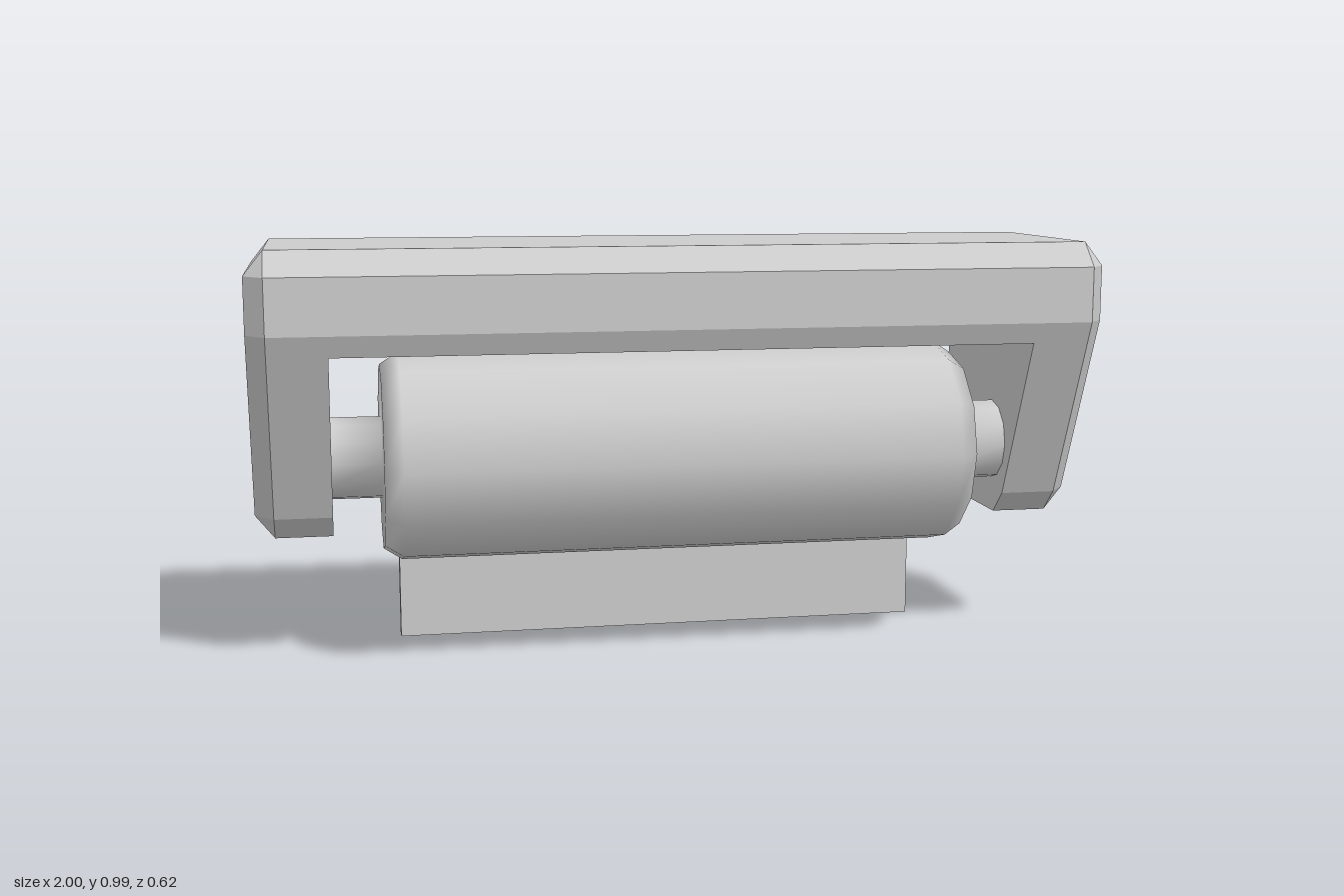
import * as THREE from 'three';
import { ConvexGeometry } from 'three/addons/geometries/ConvexGeometry.js';

export function createModel() {
  const model = new THREE.Group();
  model.name = 'rollHolder';

  const grey = new THREE.MeshStandardMaterial({ color: 0xcccccc });
  grey.name = 'grey';

  const add = (name, geometry) => {
    const mesh = new THREE.Mesh(geometry, grey);
    mesh.name = name;
    model.add(mesh);
    return mesh;
  };

  // Places a [z, y] outline at a given x
  const section = (outline, x) => outline.map(([z, y]) => new THREE.Vector3(x, y, z));

  // Outlines of the bracket arm, its bevelled outer face, and the cross bar
  const armOutline = [
    [0.25, 0.992], [0.308, 0.935], [0.308, 0.805], [0.108, 0.362], [0.05, 0.306],
    [-0.25, 0.306], [-0.308, 0.362], [-0.308, 0.935], [-0.25, 0.992],
  ];
  const armFace = [[0.25, 0.935], [0.25, 0.805], [0.05, 0.362], [-0.25, 0.362], [-0.25, 0.935]];
  const barOutline = [
    [0.25, 0.992], [0.308, 0.935], [0.308, 0.805], [0.2855, 0.755],
    [-0.25, 0.755], [-0.308, 0.805], [-0.308, 0.935], [-0.25, 0.992],
  ];

  // Bracket: cross bar and two bevelled arms
  const innerX = 0.82;
  add('crossBar', new ConvexGeometry([...section(barOutline, -innerX), ...section(barOutline, innerX)]));
  for (const [name, side] of [['leftArm', 1], ['rightArm', -1]]) {
    add(name, new ConvexGeometry([
      ...section(armOutline, side * innerX),
      ...section(armOutline, side * 0.955),
      ...section(armFace, side),
    ]));
  }

  // Roll with bevelled ends, turned in one piece with its axle
  const halfProfile = [[0.25, 0.66], [0.222, 0.703], [0.098, 0.703], [0.098, innerX]];
  const profile = [
    ...halfProfile.map(([r, x]) => new THREE.Vector2(r, -x)).reverse(),
    ...halfProfile.map(([r, x]) => new THREE.Vector2(r, x)),
  ];
  const roll = add('rollAndAxle', new THREE.LatheGeometry(profile, 12).rotateZ(Math.PI / 2));
  roll.position.set(0, 0.487, 0.02);

  // Sheet hanging from the back of the roll
  const sheet = add('hangingSheet', new THREE.BoxGeometry(1.32, 0.362, 0.046));
  sheet.position.set(0, 0.181, -0.173);

  return model;
}
